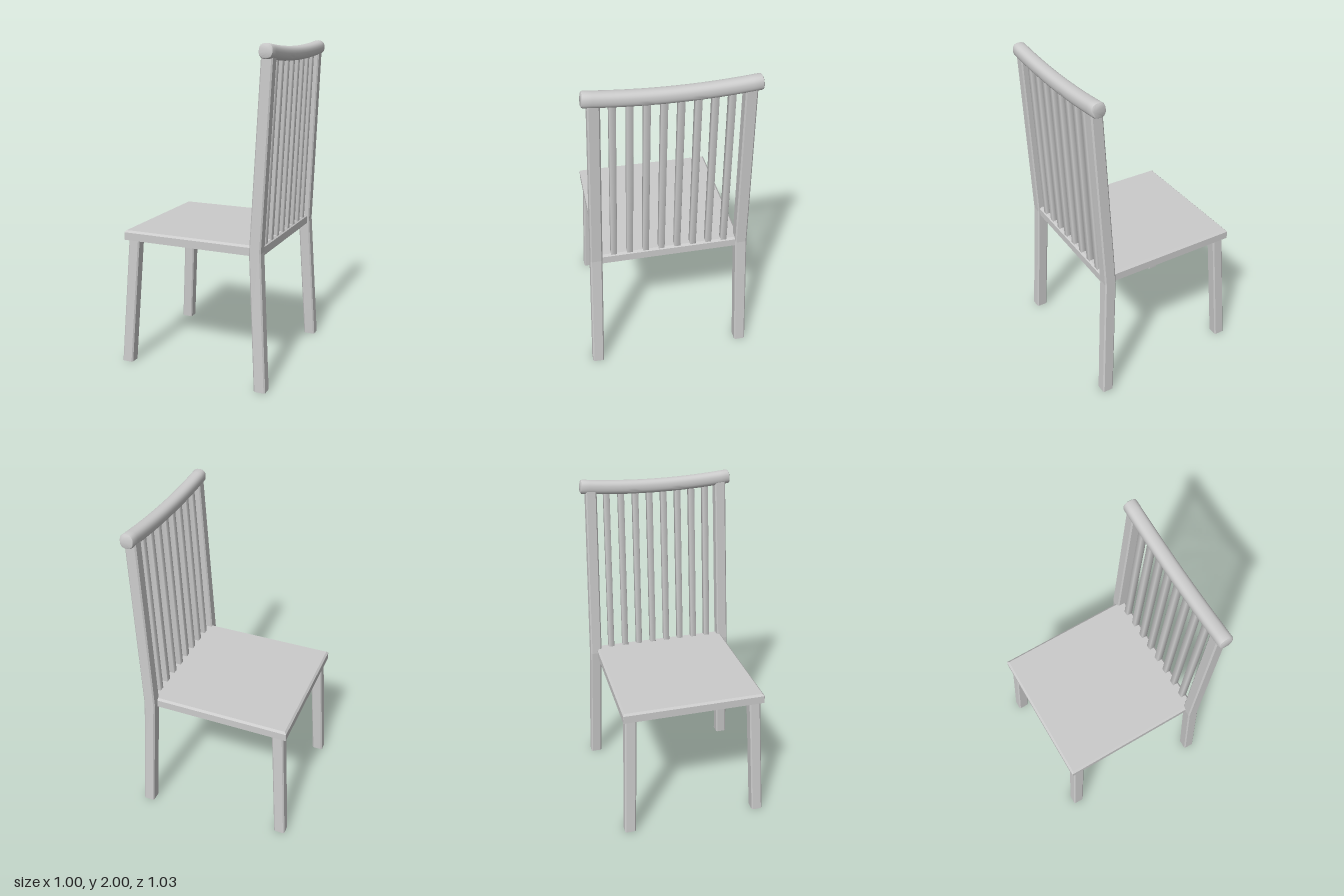
import * as THREE from 'three';
import { toCreasedNormals } from 'three/addons/utils/BufferGeometryUtils.js';

const material = new THREE.MeshStandardMaterial({ color: 0xcccccc });

// Closed solid through rings of equal point count, counterclockwise seen from the end of the path
function loft(rings, crease) {
  const n = rings[0].length, pos = rings.flat(2), index = [];
  for (let r = 0; r < rings.length - 1; r++) {
    for (let i = 0; i < n; i++) {
      const j = (i + 1) % n, a = r * n + i, b = r * n + j;
      index.push(a, b, b + n, a, b + n, a + n);
    }
  }
  const last = (rings.length - 1) * n;
  for (let i = 1; i < n - 1; i++) {
    index.push(0, i + 1, i, last, last + i, last + i + 1);
  }
  const geometry = new THREE.BufferGeometry();
  geometry.setAttribute('position', new THREE.Float32BufferAttribute(pos, 3));
  geometry.setIndex(index);
  return toCreasedNormals(geometry, crease);
}

// Horizontal rectangle with chamfered corners, half sizes a (x) and b (z)
function rectRing(x, y, z, a, b, c) {
  return [
    [a, b - c], [a, c - b], [a - c, -b], [c - a, -b],
    [-a, c - b], [-a, b - c], [c - a, b], [a - c, b],
  ].map(([u, v]) => [x + u, y, z + v]);
}

function add(group, name, geometry) {
  const mesh = new THREE.Mesh(geometry, material);
  mesh.name = name;
  group.add(mesh);
}

export function createModel() {
  const chair = new THREE.Group();
  chair.name = 'chair';

  // Seat board with a chamfered upper edge
  add(chair, 'seat', loft([
    rectRing(-0.023, 0.80, 0, 0.453, 0.44, 0.002),
    rectRing(-0.023, 0.848, 0, 0.453, 0.44, 0.002),
    rectRing(-0.023, 0.86, 0, 0.441, 0.428, 0.002),
  ], 0.3));

  // Splayed front legs and bent back posts, mirrored across z
  for (const s of [1, -1]) {
    const side = s > 0 ? 'A' : 'B';
    add(chair, 'frontLeg' + side, loft([
      rectRing(-0.467, 0, s * 0.424, 0.036, 0.035, 0.008),
      rectRing(-0.416, 0.82, s * 0.388, 0.036, 0.035, 0.008),
    ], 0.3));
    add(chair, 'backPost' + side, loft([
      rectRing(0.455, 0, s * 0.48, 0.036, 0.036, 0.008),
      rectRing(0.405, 0.83, s * 0.448, 0.036, 0.036, 0.008),
      rectRing(0.452, 1.94, s * 0.418, 0.035, 0.034, 0.008),
    ], 0.04));
  }

  // Eight upright slats that draw together slightly toward the top
  for (let i = 0; i < 8; i++) {
    const k = i - 3.5;
    add(chair, 'slat' + (i + 1), loft([
      rectRing(0.405, 0.85, k * 0.097, 0.019, 0.0185, 0.001),
      rectRing(0.451, 1.93, k * 0.0915, 0.019, 0.0185, 0.001),
    ], 0.9));
  }

  // Rounded top rail, dipping in the middle, with softened ends
  const rings = [];
  const addRing = (z, scale) => {
    const ring = [];
    for (let i = 0; i < 24; i++) {
      const t = (i / 24) * Math.PI * 2;
      const round = (v) => Math.sign(v) * Math.pow(Math.abs(v), 0.8) * 0.042 * scale;
      const dy = round(Math.sin(t));
      const slope = 0.22 * z;
      ring.push([0.455 + round(Math.cos(t)), 1.932 + 0.11 * z * z + dy, z - slope * dy]);
    }
    rings.push(ring);
  };
  addRing(-0.481, 0.8);
  addRing(-0.478, 0.93);
  for (let i = 0; i <= 20; i++) addRing(-0.47 + 0.047 * i, 1);
  addRing(0.478, 0.93);
  addRing(0.481, 0.8);
  add(chair, 'topRail', loft(rings, 0.7));

  return chair;
}
